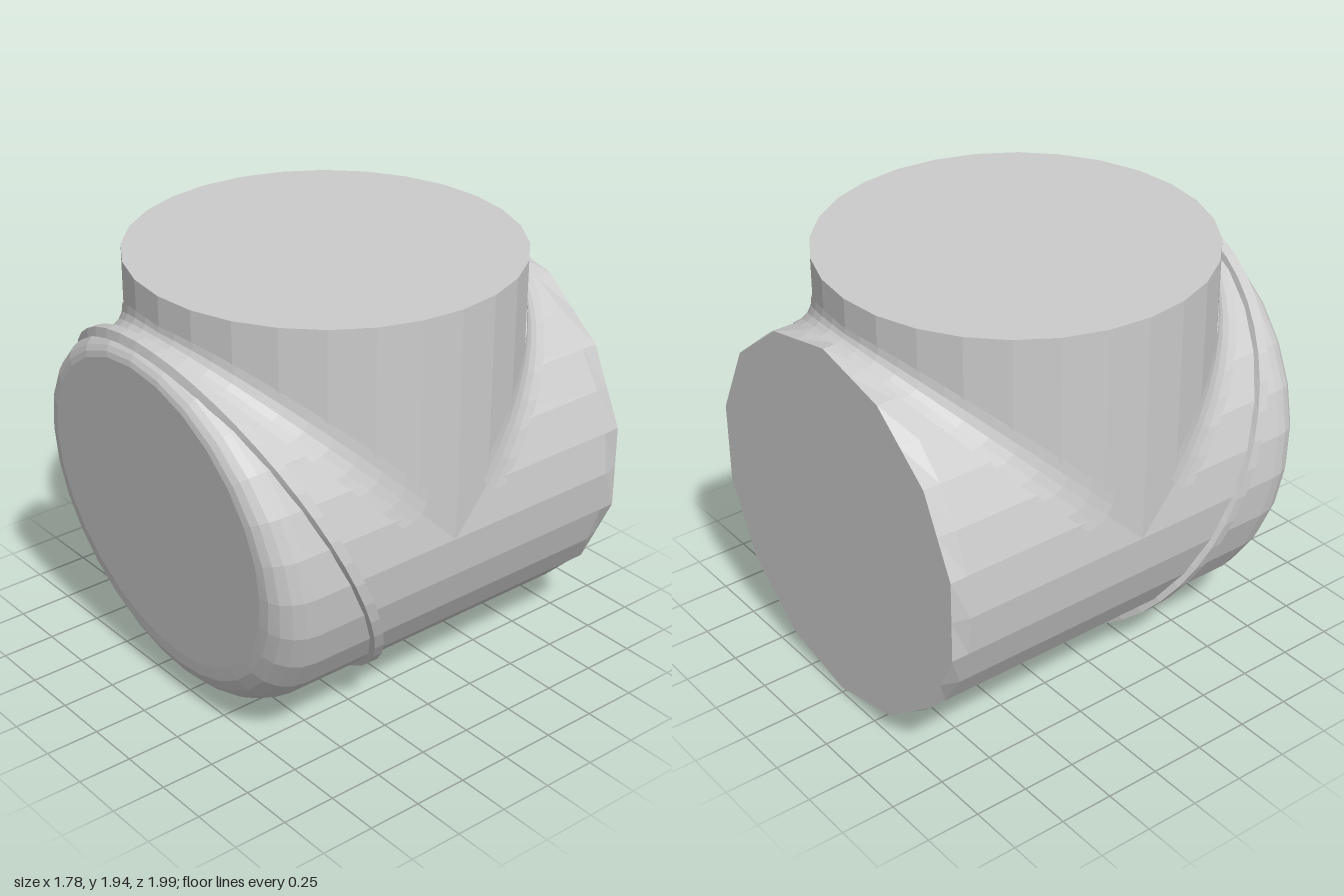
import * as THREE from 'three';

const R = 0.865;      // radius of both pipes
const CY = 0.895;     // height of the horizontal pipe's axis
const CZ = -0.025;    // depth of the vertical pipe's axis
const SIDES = 28;

const V = (x, y, z) => new THREE.Vector3(x, y, z);

// Skin a list of rings; closed rings may be capped at both ends
function loft(name, rings, { closed = true, caps = false, doubleSide = false } = {}) {
  const n = rings[0].length;
  const points = rings.flat();
  const index = [];
  for (let i = 0; i < rings.length - 1; i++) {
    for (let j = 0; j < (closed ? n : n - 1); j++) {
      const k = (j + 1) % n;
      const a = i * n + j, b = i * n + k, c = b + n, d = a + n;
      index.push(a, d, b, b, d, c);
    }
  }
  if (caps) {
    const last = (rings.length - 1) * n;
    const centre = (ring) => ring.reduce((s, p) => s.add(p), V(0, 0, 0)).divideScalar(n);
    const start = points.length;
    points.push(centre(rings[0]), centre(rings[rings.length - 1]));
    for (let j = 0; j < n; j++) {
      const k = (j + 1) % n;
      index.push(start, j, k, start + 1, last + k, last + j);
    }
  }
  const geometry = new THREE.BufferGeometry().setFromPoints(points);
  geometry.setIndex(index);
  geometry.computeVertexNormals();
  const mesh = new THREE.Mesh(geometry, new THREE.MeshStandardMaterial({
    color: 0xcccccc,
    flatShading: true,
    side: doubleSide ? THREE.DoubleSide : THREE.FrontSide,
  }));
  mesh.name = name;
  return mesh;
}

// Ring about the z axis; fn(t, j) gives [radius, z], with t = 0 at the top
function ring(fn, sides = SIDES) {
  return Array.from({ length: sides }, (_, j) => {
    const t = (j / sides) * Math.PI * 2;
    const [r, z] = fn(t, j);
    return V(Math.sin(t) * r, CY + Math.cos(t) * r, z);
  });
}

// Horizontal pipe: coarse flat back end, leaning rounded front end
function horizontalPipe() {
  const chord = R * Math.cos((2 * Math.PI) / SIDES);
  const rings = [
    ring((t, j) => [j % 2 ? chord : R, -1]),
    ring(() => [R, -0.92]),
  ];
  const steps = 5;
  for (let i = 0; i <= steps; i++) {
    const a = (i / steps) * Math.PI / 2;
    rings.push(ring((t) => {
      const low = (1 - Math.cos(t)) / 2;                 // 0 at top, 1 at bottom
      const inset = THREE.MathUtils.lerp(0.08, 0.22, low);
      const depth = THREE.MathUtils.lerp(0.1, 0.24, low);
      const r = R - inset * (1 - Math.cos(a));
      const faceY = CY + Math.cos(t) * (R - inset);
      const faceZ = 0.82 + 0.117 * (faceY - 0.25);
      return [r, faceZ - depth * (1 - Math.sin(a))];
    }));
  }
  return loft('horizontalPipe', rings, { caps: true });
}

// Raised band running round the horizontal pipe on a steep slant
function slantedBand() {
  const profile = [[0.85, -0.035], [0.89, -0.025], [0.89, 0.025], [0.85, 0.035]];
  const rings = profile.map(([r, dz]) =>
    ring((t) => [r, 0.515 + 0.415 * Math.cos(t) + dz], 48));
  return loft('slantedBand', rings);
}

// Concave blend along the crease where the two pipes meet
function fillet(name, dir) {
  const rows = [0, 0.25, 0.5, 0.75, 1].map((s) =>
    Array.from({ length: 25 }, (_, j) => {
      const t = THREE.MathUtils.degToRad(-80 + (160 * j) / 24);
      const d = 0.055 + 0.08 * Math.abs(Math.sin(t));
      const c = R * Math.cos(t);
      return V(R * Math.sin(t), CY + c + d * (1 - s) ** 2, CZ + dir * (c + d * s * s));
    }));
  return loft(name, dir > 0 ? rows : rows.reverse(), { closed: false, doubleSide: true });
}

export function createModel() {
  const model = new THREE.Group();
  model.name = 'pipeTee';

  // Upright pipe, its lower end buried in the horizontal one
  const upright = new THREE.Mesh(
    new THREE.CylinderGeometry(R, R, 1.95 - CY, SIDES),
    new THREE.MeshStandardMaterial({ color: 0xcccccc, flatShading: true }),
  );
  upright.name = 'verticalPipe';
  upright.position.set(0, (1.95 + CY) / 2, CZ);

  model.add(
    upright,
    horizontalPipe(),
    slantedBand(),
    fillet('frontFillet', 1),
    fillet('backFillet', -1),
  );
  return model;
}
